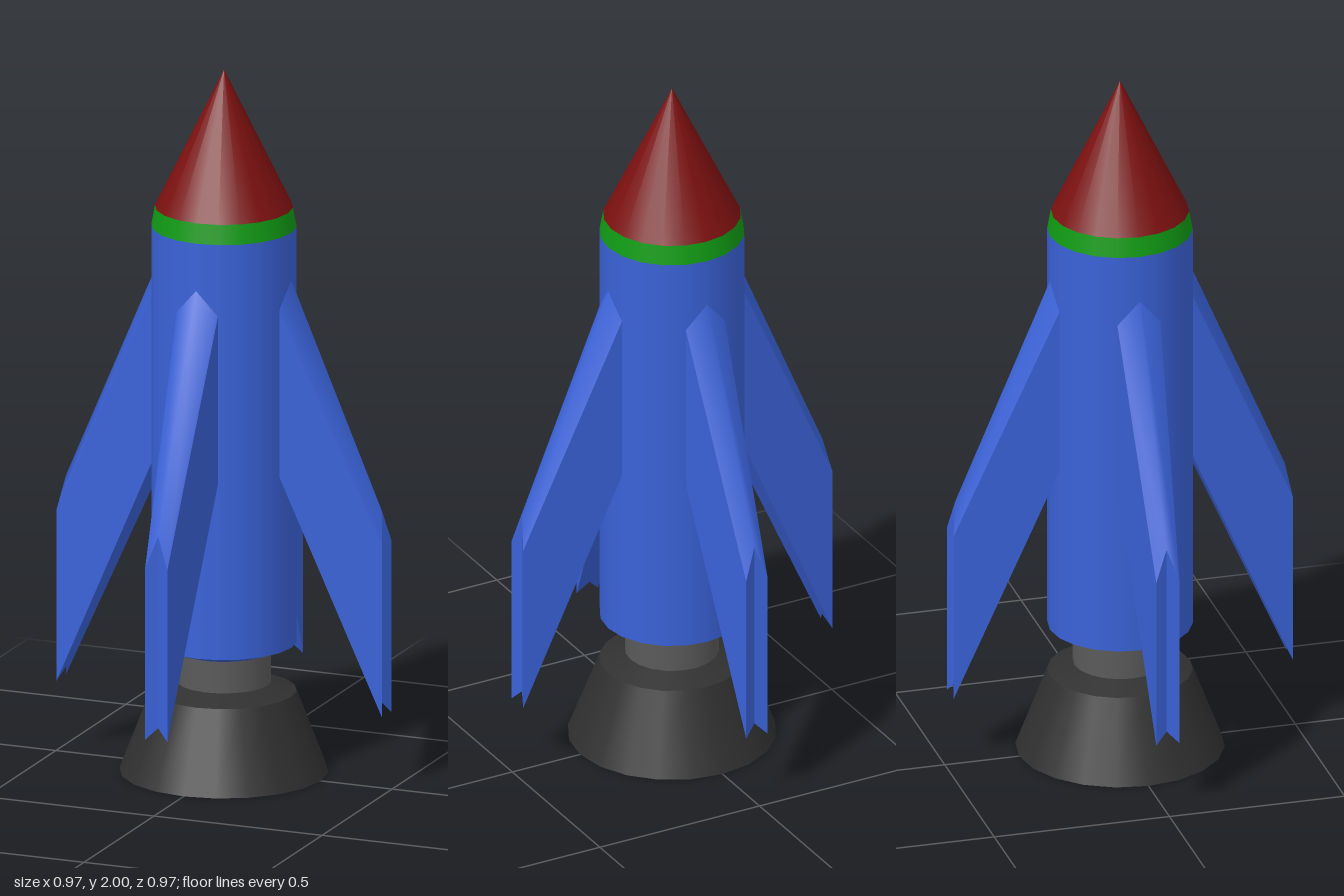
import * as THREE from 'three';
import { mergeGeometries } from 'three/addons/utils/BufferGeometryUtils.js';

const SIDES = 20;

function material(name, color) {
  const m = new THREE.MeshStandardMaterial({ color });
  m.name = name;
  return m;
}

// One fin pointing along +x, lofted between a section inside the hull and one at the tip
function finGeometry() {
  // Order: left bottom, left shoulder, ridge, right shoulder, right bottom, bottom middle
  const inner = [
    [0.18, 0.895, 0.062], [0.18, 1.374, 0.062], [0.18, 1.467, 0],
    [0.18, 1.374, -0.062], [0.18, 0.895, -0.062], [0.18, 0.895, 0],
  ];
  const outer = [
    [0.484, 0.21, 0.033], [0.484, 0.70, 0.033], [0.47, 0.79, 0],
    [0.484, 0.70, -0.033], [0.484, 0.21, -0.033], [0.47, 0.243, 0],
  ];
  const surface = (points, index) => {
    const g = new THREE.BufferGeometry();
    g.setAttribute('position', new THREE.Float32BufferAttribute(points.flat(), 3));
    g.setIndex(index);
    g.computeVertexNormals();
    return g;
  };
  const quad = (...p) => surface(p, [0, 1, 2, 0, 2, 3]);
  const side = (a, b) => quad(inner[a], outer[a], outer[b], inner[b]);

  return mergeGeometries([
    side(0, 1), side(3, 4), side(4, 5), side(5, 0),
    // Leading edge, smooth across the ridge
    surface(
      [inner[1], outer[1], inner[2], outer[2], inner[3], outer[3]],
      [0, 1, 3, 0, 3, 2, 2, 3, 5, 2, 5, 4],
    ),
    // Notched tip
    quad(outer[0], outer[5], outer[2], outer[1]),
    quad(outer[5], outer[4], outer[3], outer[2]),
  ]);
}

export function createModel() {
  const rocket = new THREE.Group();
  rocket.name = 'rocket';

  const blue = material('hull blue', 0x3a62d8);
  const red = material('nose red', 0x7c1010);
  const green = material('band green', 0x109a14);
  const grey = material('neck grey', 0x5a5a5a);
  const dark = material('nozzle dark grey', 0x303030);

  // Round section between two heights
  const ring = (name, mat, y0, r0, y1, r1, open = true) => {
    const g = new THREE.CylinderGeometry(r1, r0, y1 - y0, SIDES, 1, open);
    const mesh = new THREE.Mesh(g, mat);
    mesh.name = name;
    mesh.position.y = (y0 + y1) / 2;
    rocket.add(mesh);
  };

  // Engine
  ring('nozzle', dark, 0, 0.288, 0.23, 0.2, false);
  ring('nozzleShoulder', dark, 0.23, 0.2, 0.255, 0.13);
  ring('engineNeck', grey, 0.25, 0.13, 0.355, 0.13);

  // Hull and nose
  ring('hullBase', blue, 0.345, 0.13, 0.37, 0.2);
  ring('hull', blue, 0.37, 0.2, 1.555, 0.2);
  ring('noseBand', green, 1.555, 0.2, 1.61, 0.19);
  ring('noseCone', red, 1.61, 0.19, 2, 0);

  // Four fins
  const fin = finGeometry();
  for (let i = 0; i < 4; i++) {
    const mesh = new THREE.Mesh(fin, blue);
    mesh.name = 'fin' + (i + 1);
    mesh.rotation.y = (i * Math.PI) / 2;
    rocket.add(mesh);
  }

  return rocket;
}
